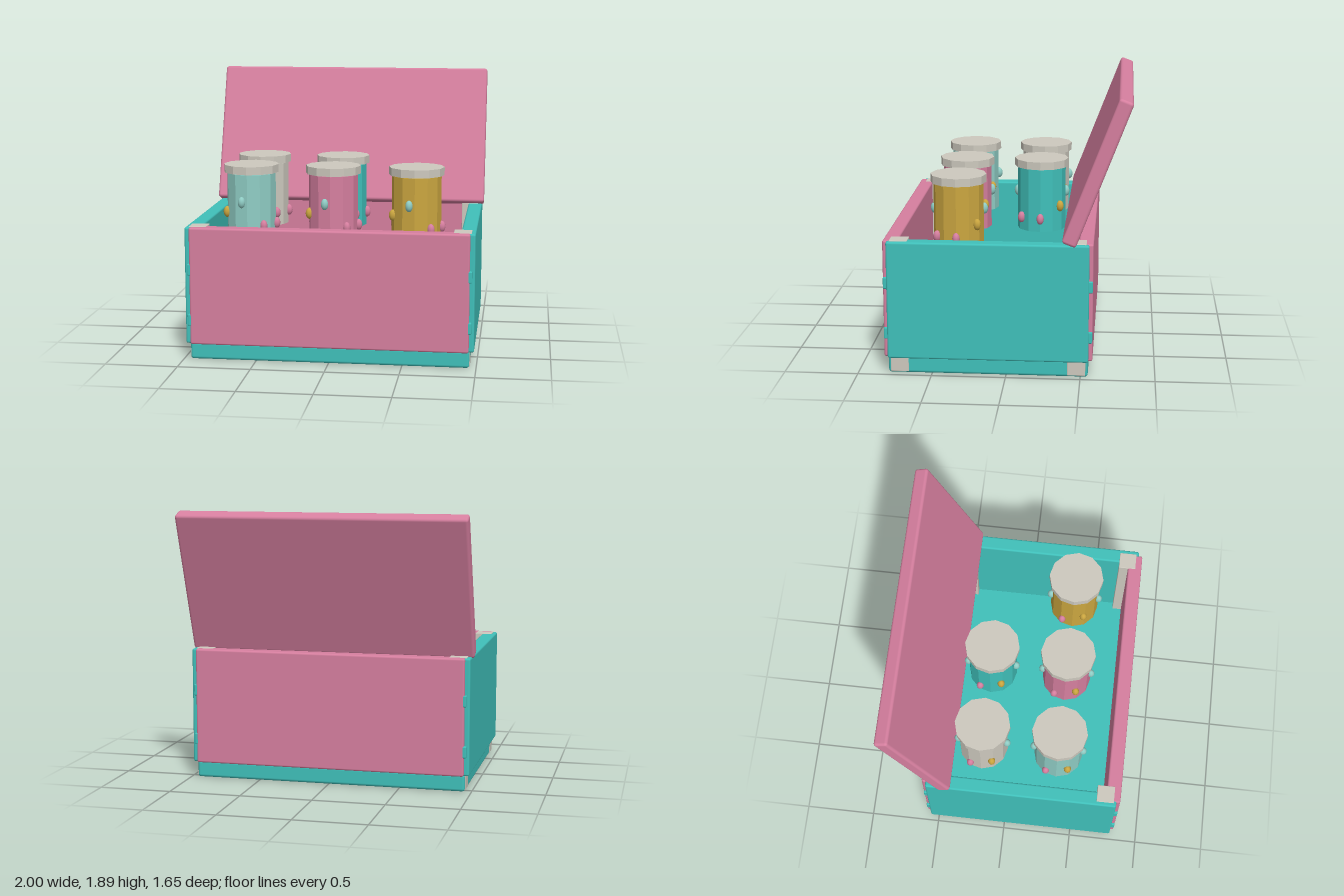
import * as THREE from 'three';
import { RoundedBoxGeometry } from 'three/addons/geometries/RoundedBoxGeometry.js';

const paint = (name, color) => {
  const m = new THREE.MeshStandardMaterial({ color });
  m.name = name;
  return m;
};

export function createModel() {
  const model = new THREE.Group();
  model.name = 'canisterChest';

  const pink = paint('pink', 0xd67f9f);
  const teal = paint('teal', 0x40c0ba);
  const beige = paint('beige', 0xcdc9be);
  const mint = paint('mint', 0x90cdc5);
  const gold = paint('gold', 0xcba640);

  // Rounded box given by its min and max corners
  function slab(name, mat, [x0, y0, z0], [x1, y1, z1], radius = 0.014) {
    const geo = new RoundedBoxGeometry(x1 - x0, y1 - y0, z1 - z0, 2, radius);
    const mesh = new THREE.Mesh(geo, mat);
    mesh.position.set((x0 + x1) / 2, (y0 + y1) / 2, (z0 + z1) / 2);
    mesh.name = name;
    model.add(mesh);
    return mesh;
  }

  // Base and walls
  slab('base', teal, [-0.955, 0, -0.55], [0.955, 0.12, 0.796], 0.02);
  slab('frontWall', pink, [-0.95, 0.11, 0.725], [0.95, 0.921, 0.825]);
  slab('backWall', pink, [-0.95, 0.11, -0.58], [0.95, 0.921, -0.48]);

  for (const s of [1, -1]) {
    const side = s > 0 ? 'left' : 'right';
    const wall = slab(side + 'Wall', teal, [0.885, 0.11, -0.553], [0.985, 0.919, 0.798]);
    wall.position.x *= s;

    // Corner posts, showing inside the chest and at the base
    for (const [end, z0, z1] of [['Front', 0.658, 0.78], ['Back', -0.534, -0.412]]) {
      const post = slab(side + end + 'Post', beige, [0.838, 0.01, z0], [0.958, 0.923, z1], 0.004);
      post.position.x *= s;
    }

    // Joint tabs linking the side walls to the front and back
    for (const [end, z0, z1] of [['Front', 0.73, 0.823], ['Back', -0.578, -0.485]]) {
      for (const y of [0.28, 0.63]) {
        const tab = slab(side + end + 'Tab', teal, [0.9, y - 0.04, z0], [0.966, y + 0.04, z1], 0.008);
        tab.position.x *= s;
      }
    }
  }

  // Open lid leaning back
  const lid = slab('lid', pink, [-1, 0.885, -0.65], [1, 1.915, -0.55], 0.02);
  lid.position.set(0, 1.402, -0.599);
  lid.rotation.x = THREE.MathUtils.degToRad(-21);

  // Canisters
  const bodyGeo = new THREE.CylinderGeometry(0.172, 0.172, 0.45, 12).toNonIndexed();
  const capGeo = new THREE.CylinderGeometry(0.192, 0.192, 0.055, 12).toNonIndexed();
  bodyGeo.computeVertexNormals();
  capGeo.computeVertexNormals();
  const studGeo = new THREE.SphereGeometry(1, 10, 8);
  studGeo.scale(0.026, 0.04, 0.028);

  // Studs repeat in three colours, each at its own height
  const studKinds = [[gold, 0.97], [pink, 0.885], [mint, 1.05]];

  function canister(name, mat, x, z) {
    const group = new THREE.Group();
    group.name = name;
    group.position.set(x, 0, z);
    const body = new THREE.Mesh(bodyGeo, mat);
    body.name = 'body';
    body.position.y = 1.015;
    const cap = new THREE.Mesh(capGeo, beige);
    cap.name = 'cap';
    cap.position.y = 1.2725;
    group.add(body, cap);
    for (let i = 1; i <= 7; i++) {
      const a = (i * Math.PI * 2) / 7;
      const [color, y] = studKinds[i % 3];
      const stud = new THREE.Mesh(studGeo, color);
      stud.name = 'stud';
      stud.position.set(Math.cos(a) * 0.175, y, Math.sin(a) * 0.175);
      stud.rotation.y = Math.PI / 2 - a;
      group.add(stud);
    }
    model.add(group);
  }

  canister('mintCanister', mint, -0.602, 0.355);
  canister('pinkCanister', pink, -0.022, 0.355);
  canister('goldCanister', gold, 0.558, 0.355);
  canister('beigeCanister', beige, -0.602, -0.18);
  canister('tealCanister', teal, -0.022, -0.18);

  return model;
}
